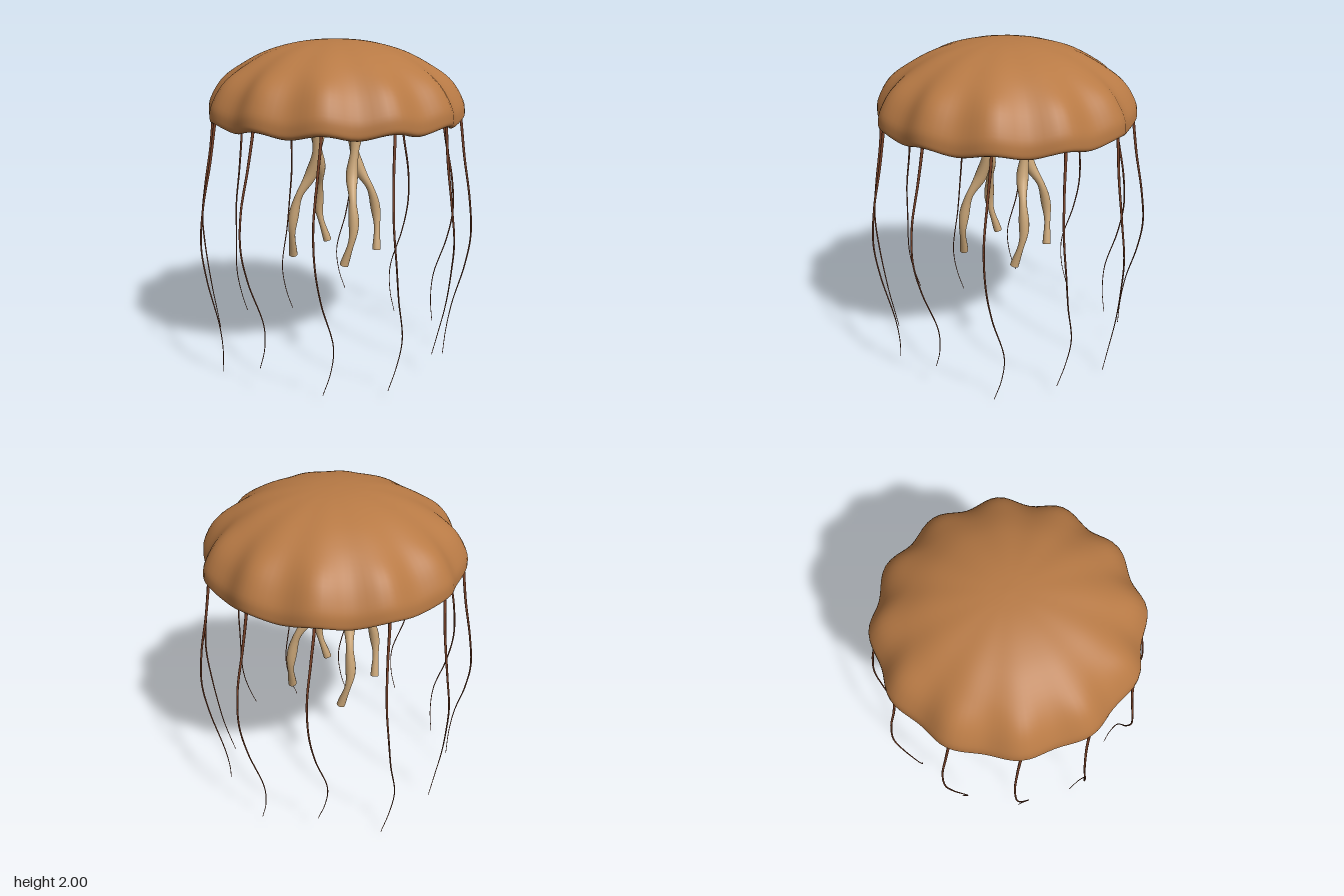
import * as THREE from 'three';
import { mergeVertices } from 'three/addons/utils/BufferGeometryUtils.js';

const V = (x, y, z) => new THREE.Vector3(x, y, z);

// Tube along a curve whose radius follows radiusAt(t)
function taperedTube(curve, segments, sides, radiusAt) {
  const geo = new THREE.TubeGeometry(curve, segments, 1, sides, false);
  const pos = geo.attributes.position;
  const p = new THREE.Vector3();
  for (let i = 0; i <= segments; i++) {
    const t = i / segments;
    const centre = curve.getPointAt(t);
    for (let j = 0; j <= sides; j++) {
      const k = i * (sides + 1) + j;
      p.fromBufferAttribute(pos, k).sub(centre).multiplyScalar(radiusAt(t)).add(centre);
      pos.setXYZ(k, p.x, p.y, p.z);
    }
  }
  return geo;
}

// Hollow dome with a rolled rim and twelve shallow flutes
function bellGeometry() {
  const outer = [[0.75, 1.518], [0.772, 1.53], [0.778, 1.56], [0.765, 1.63], [0.70, 1.74],
    [0.60, 1.83], [0.45, 1.915], [0.30, 1.965], [0.15, 1.992], [0, 2]];
  const inner = [[0, 1.955], [0.15, 1.947], [0.30, 1.92], [0.45, 1.87], [0.58, 1.79],
    [0.67, 1.70], [0.725, 1.62], [0.738, 1.55]];
  const sample = (list, n) =>
    new THREE.SplineCurve(list.map(([r, y]) => new THREE.Vector2(r, y))).getPoints(n);
  const profile = [...sample(inner, 24), ...sample(outer, 36)];
  profile.forEach((q) => { q.x = Math.max(0, q.x); });

  let geo = new THREE.LatheGeometry(profile, 120);
  const pos = geo.attributes.position;
  for (let i = 0; i < pos.count; i++) {
    const x = pos.getX(i), y = pos.getY(i), z = pos.getZ(i);
    const wave = Math.cos(12 * Math.atan2(x, z));
    const r = Math.hypot(x, z);
    const flute = 1 + 0.021 * (wave - 1) * Math.min(1, r / 0.6);
    const drop = 0.016 * wave * THREE.MathUtils.smoothstep(r, 0.55, 0.75);
    pos.setXYZ(i, x * flute, y + drop, z * flute);
  }
  geo.deleteAttribute('uv');
  geo.deleteAttribute('normal');
  geo = mergeVertices(geo, 1e-4);
  geo.computeVertexNormals();
  return geo;
}

export function createModel() {
  const model = new THREE.Group();
  model.name = 'jellyfish';
  const material = (name, color) => {
    const m = new THREE.MeshStandardMaterial({ color });
    m.name = name;
    return m;
  };
  const bellBrown = material('bellBrown', 0xb87a45);
  const armTan = material('armTan', 0xcaa678);
  const tentacleBrown = material('tentacleBrown', 0x7a4228);

  const add = (parent, name, geo, mat) => {
    const mesh = new THREE.Mesh(geo, mat);
    mesh.name = name;
    parent.add(mesh);
    return mesh;
  };

  add(model, 'bell', bellGeometry(), bellBrown);

  // Four knobbly oral arms, twisting outward below the bell
  const armPath = new THREE.CatmullRomCurve3([
    V(0.13, 1.95, -0.09), V(0.145, 1.65, -0.08), V(0.145, 1.4, -0.068), V(0.175, 1.2, -0.03),
    V(0.25, 1.05, 0), V(0.285, 0.87, 0.012), V(0.262, 0.67, 0.062),
  ]);
  const armRadius = (t) =>
    (0.042 - 0.02 * t) * (1 + 0.2 * Math.cos((t - 0.36) * Math.PI * 2 / 0.215));
  const armGeo = taperedTube(armPath, 72, 14, armRadius);
  const tipGeo = new THREE.CircleGeometry(armRadius(1), 14);
  for (let i = 0; i < 4; i++) {
    const arm = new THREE.Group();
    arm.name = 'oralArm' + (i + 1);
    add(arm, 'armStem', armGeo, armTan);
    const tip = add(arm, 'armTip', tipGeo, armTan);
    tip.position.copy(armPath.getPointAt(1));
    tip.quaternion.setFromUnitVectors(V(0, 0, 1), armPath.getTangentAt(1));
    arm.rotation.y = i * Math.PI / 2;
    model.add(arm);
  }

  // Twelve trailing tentacles: [end height, end radius], counted from the front
  const ends = [[0.05, 0.73], [0.16, 0.71], [0.005, 0.695], [0.08, 0.73], [0.03, 0.735], [0.16, 0.735],
    [0.02, 0.76], [0.1, 0.76], [0.13, 0.76], [0.0, 0.76], [0.16, 0.745], [0.05, 0.725]];
  // Sway as [fraction down, outward, sideways]
  const sway = [[0, 0, 0], [0.06, 0.015, 0], [0.2, 0.045, -0.018], [0.36, 0.09, -0.036],
    [0.5, 0.112, -0.026], [0.63, 0.09, 0.004], [0.8, 0.035, 0.064], [0.91, 0.01, 0.045], [1, 0, 0]];
  const top = 1.63, startRadius = 0.742;
  ends.forEach(([endY, endR], i) => {
    const path = new THREE.CatmullRomCurve3(sway.map(([t, out, side]) => V(
      side,
      THREE.MathUtils.lerp(top, endY, t),
      THREE.MathUtils.lerp(startRadius, endR, t * t) + out,
    )));
    const geo = taperedTube(path, 64, 7, (t) => 0.0095 - 0.0075 * Math.pow(t, 0.8));
    const tentacle = add(model, 'tentacle' + (i + 1), geo, tentacleBrown);
    tentacle.rotation.y = i * Math.PI / 6;
  });

  return model;
}
